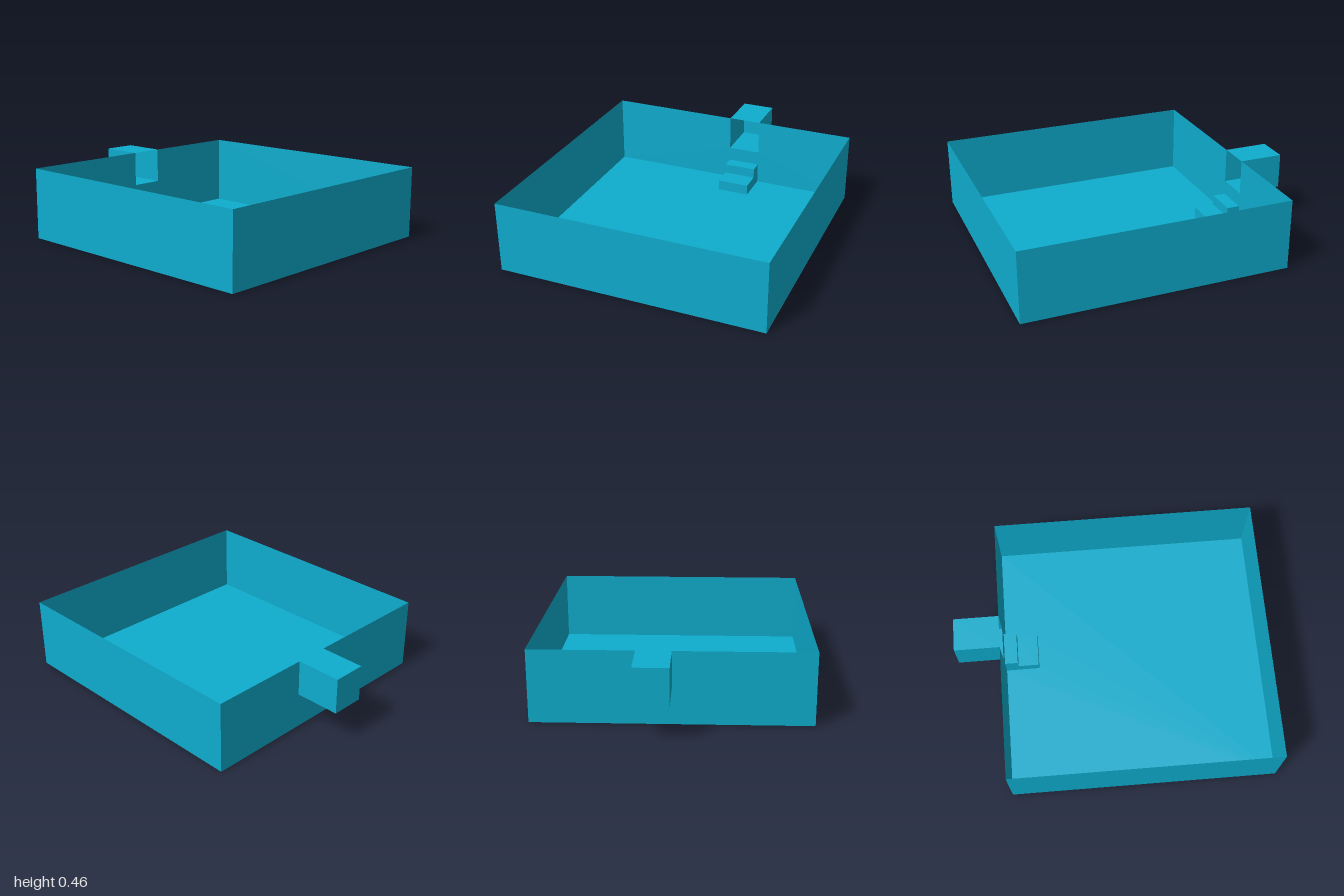
import * as THREE from 'three';

// Overall room limits, doorway and steps
const X = 0.855, H = 0.46, FRONT = 1, BACK = -0.71, END = -1;
const D0 = -0.003, D1 = 0.21, SILL = 0.23;
const Z1 = -0.49, Z2 = -0.625, Y1 = 0.07, Y2 = 0.135;

export function createModel() {
  const model = new THREE.Group();
  const cyan = new THREE.MeshStandardMaterial({ color: 0x0eaccd, side: THREE.DoubleSide });
  cyan.name = 'cyan';

  const outline = pts => new THREE.Shape(pts.map(([a, b]) => new THREE.Vector2(a, b)));
  const rect = (a0, b0, a1, b1) => [[a0, b0], [a1, b0], [a1, b1], [a0, b1]];

  // Flat sheet from an outline: 'x' takes (-z, y), 'y' takes (x, -z), 'z' takes (x, y)
  function sheet(parent, name, axis, at, pts, hole) {
    const shape = outline(pts);
    if (hole) shape.holes.push(outline(hole));
    const geo = new THREE.ShapeGeometry(shape);
    if (axis === 'x') geo.rotateY(Math.PI / 2).translate(at, 0, 0);
    if (axis === 'y') geo.rotateX(-Math.PI / 2).translate(0, at, 0);
    if (axis === 'z') geo.translate(0, 0, at);
    const mesh = new THREE.Mesh(geo, cyan);
    mesh.name = name;
    parent.add(mesh);
  }
  function group(name) {
    const g = new THREE.Group();
    g.name = name;
    model.add(g);
    return g;
  }

  // Open-topped room; the floor is cut away beneath the steps
  const room = group('room');
  sheet(room, 'floor', 'y', 0, [
    [-X, -FRONT], [X, -FRONT], [X, -BACK], [D1, -BACK],
    [D1, -Z1], [D0, -Z1], [D0, -BACK], [-X, -BACK],
  ]);
  sheet(room, 'frontWall', 'z', FRONT, rect(-X, 0, X, H));
  sheet(room, 'backWall', 'z', BACK, [
    [-X, 0], [X, 0], [X, H], [D1, H], [D1, SILL], [D0, SILL], [D0, H], [-X, H],
  ]);
  for (const [name, x] of [['leftWall', X], ['rightWall', -X]])
    sheet(room, name, 'x', x, rect(-FRONT, 0, -BACK, H));

  // Hollow alcove behind the doorway
  const alcove = group('alcove');
  sheet(alcove, 'alcoveFloor', 'y', SILL, rect(D0, -BACK, D1, -END));
  sheet(alcove, 'alcoveCeiling', 'y', H, rect(D0, -BACK, D1, -END));
  sheet(alcove, 'alcoveBack', 'z', END, rect(D0, SILL, D1, H));
  for (const x of [D0, D1])
    sheet(alcove, 'alcoveSide', 'x', x, rect(-BACK, SILL, -END, H));

  // Two hollow steps below the doorway
  const steps = group('steps');
  sheet(steps, 'lowerRiser', 'z', Z1, rect(D0, 0, D1, Y1));
  sheet(steps, 'lowerTread', 'y', Y1, rect(D0, -Z1, D1, -Z2));
  sheet(steps, 'upperRiser', 'z', Z2, rect(D0, Y1, D1, Y2));
  sheet(steps, 'upperTread', 'y', Y2, rect(D0, -Z2, D1, -BACK));
  for (const x of [D0, D1])
    sheet(steps, 'stepSide', 'x', x, [
      [-Z1, 0], [-BACK, 0], [-BACK, Y2], [-Z2, Y2], [-Z2, Y1], [-Z1, Y1],
    ]);

  return model;
}
